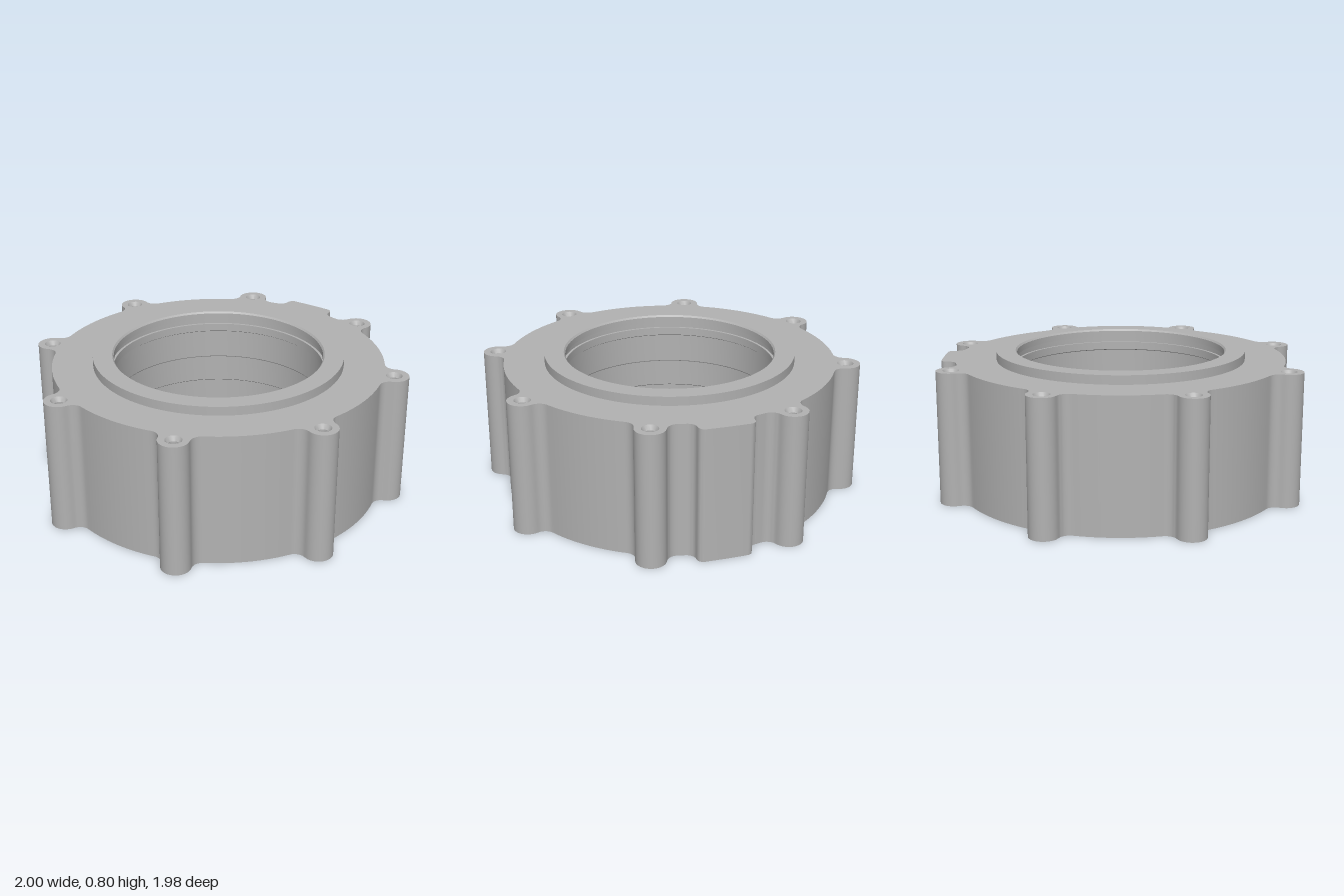
import * as THREE from 'three';
import { toCreasedNormals } from 'three/addons/utils/BufferGeometryUtils.js';

const BODY_R = 0.93, HEIGHT = 0.745, LINER_R = 0.895;
const LUG_RING = 0.985, LUG_R = 0.082, LUG_FILLET = 0.06;
const PIN_R = 0.045, CREASE = 0.5;
const lugAngles = Array.from({ length: 8 }, (_, i) => Math.PI / 8 + i * Math.PI / 4);

const polar = (r, a) => new THREE.Vector2(r * Math.cos(a), r * Math.sin(a));
const heading = (from, to) => Math.atan2(to.y - from.y, to.x - from.x);

// Append an arc, turning anticlockwise or clockwise, without duplicate points
function arc(points, centre, r, from, to, clockwise, steps) {
  const turn = 2 * Math.PI;
  let sweep = (((to - from) % turn) + turn) % turn;
  if (clockwise) sweep -= turn;
  for (let i = 0; i <= steps; i++) add(points, polar(r, from + sweep * i / steps).add(centre));
}

function add(points, p) {
  if (!points.length || points[points.length - 1].distanceTo(p) > 1e-5) points.push(p);
}

// Round flange outline with eight filleted screw lugs and one side tab
function outline() {
  const pts = [], origin = new THREE.Vector2();

  // side tab, from its lower fillet to its upper one
  const f = 0.05, half = 0.15;
  const cx = Math.sqrt((BODY_R + f) ** 2 - (half + f) ** 2);
  const low = new THREE.Vector2(cx, -half - f), high = new THREE.Vector2(cx, half + f);
  const tabAngle = heading(origin, high);
  arc(pts, low, f, heading(low, origin), Math.PI / 2, true, 8);
  const corner = 0.035;
  arc(pts, new THREE.Vector2(0.968, -half + corner), corner, -Math.PI / 2, 0, false, 6);
  add(pts, new THREE.Vector2(1.005, 0));
  arc(pts, new THREE.Vector2(0.968, half - corner), corner, 0, Math.PI / 2, false, 6);
  arc(pts, high, f, -Math.PI / 2, heading(high, origin), true, 8);

  // lugs, joined by arcs of the body circle
  const reach = BODY_R + LUG_FILLET;
  const d = Math.acos((LUG_RING ** 2 + reach ** 2 - (LUG_R + LUG_FILLET) ** 2) / (2 * LUG_RING * reach));
  let last = tabAngle;
  for (const a of lugAngles) {
    const lug = polar(LUG_RING, a), before = polar(reach, a - d), after = polar(reach, a + d);
    arc(pts, origin, BODY_R, last, a - d, false, 20);
    arc(pts, before, LUG_FILLET, heading(before, origin), heading(before, lug), true, 8);
    arc(pts, lug, LUG_R, heading(lug, before), heading(lug, after), false, 20);
    arc(pts, after, LUG_FILLET, heading(after, lug), heading(after, origin), true, 8);
    last = a + d;
  }
  arc(pts, origin, BODY_R, last, -tabAngle, false, 20);
  if (pts[0].distanceTo(pts[pts.length - 1]) < 1e-5) pts.pop();
  return pts;
}

function circleHole(centre, r, n) {
  return new THREE.Path(Array.from({ length: n }, (_, i) => polar(r, -2 * Math.PI * i / n).add(centre)));
}

function lathe(profile, segments) {
  const pts = profile.map(([r, y]) => new THREE.Vector2(r, y));
  return toCreasedNormals(new THREE.LatheGeometry(pts, segments), CREASE);
}

export function createModel() {
  const group = new THREE.Group();
  group.name = 'ringHousing';
  const metal = new THREE.MeshStandardMaterial({ color: 0xb2b2b2 });
  metal.name = 'greyMetal';

  const part = (name, geometry, x = 0, z = 0) => {
    const mesh = new THREE.Mesh(geometry, metal);
    mesh.name = name;
    mesh.position.set(x, 0, z);
    group.add(mesh);
  };

  // Outer wall with lugs and tab
  const shape = new THREE.Shape(outline());
  shape.holes.push(circleHole(new THREE.Vector2(), LINER_R, 128));
  for (const a of lugAngles) shape.holes.push(circleHole(polar(LUG_RING, a), PIN_R, 24));
  const wall = new THREE.ExtrudeGeometry(shape, { depth: HEIGHT, bevelEnabled: false });
  wall.rotateX(-Math.PI / 2);
  part('outerWall', toCreasedNormals(wall, CREASE));

  // Lid, raised collar, stepped bore, hanging sleeve and hollow underside
  part('lidAndSleeve', lathe([
    [0.605, 0.18], [0.643, 0.18], [0.643, 0.68], [0.882, 0.68], [0.882, 0.05],
    [LINER_R, 0.05], [LINER_R, HEIGHT], [0.702, HEIGHT], [0.702, 0.795],
    [0.594, 0.795], [0.586, 0.785], [0.586, 0.75], [0.604, 0.75], [0.604, 0.715],
    [0.59, 0.715], [0.59, 0.67], [0.597, 0.665], [0.597, 0.5], [0.6, 0.495],
    [0.6, 0.34], [0.605, 0.335], [0.605, 0.18],
  ], 128));

  // Blind, countersunk screw holes at both ends of every lug
  const topHole = lathe([
    [PIN_R, HEIGHT], [0.03, HEIGHT - 0.025], [0.03, HEIGHT - 0.12], [0, HEIGHT - 0.12],
  ], 24);
  const bottomHole = lathe([[0, 0.12], [0.03, 0.12], [0.03, 0.025], [PIN_R, 0]], 24);
  for (const a of lugAngles) {
    const p = polar(LUG_RING, a);
    part('topScrewHole', topHole, p.x, p.y);
    part('bottomScrewHole', bottomHole, p.x, p.y);
  }

  // Centre the whole width, tab included
  group.position.x = -0.0075;
  const model = new THREE.Group();
  model.name = 'model';
  model.add(group);
  return model;
}
